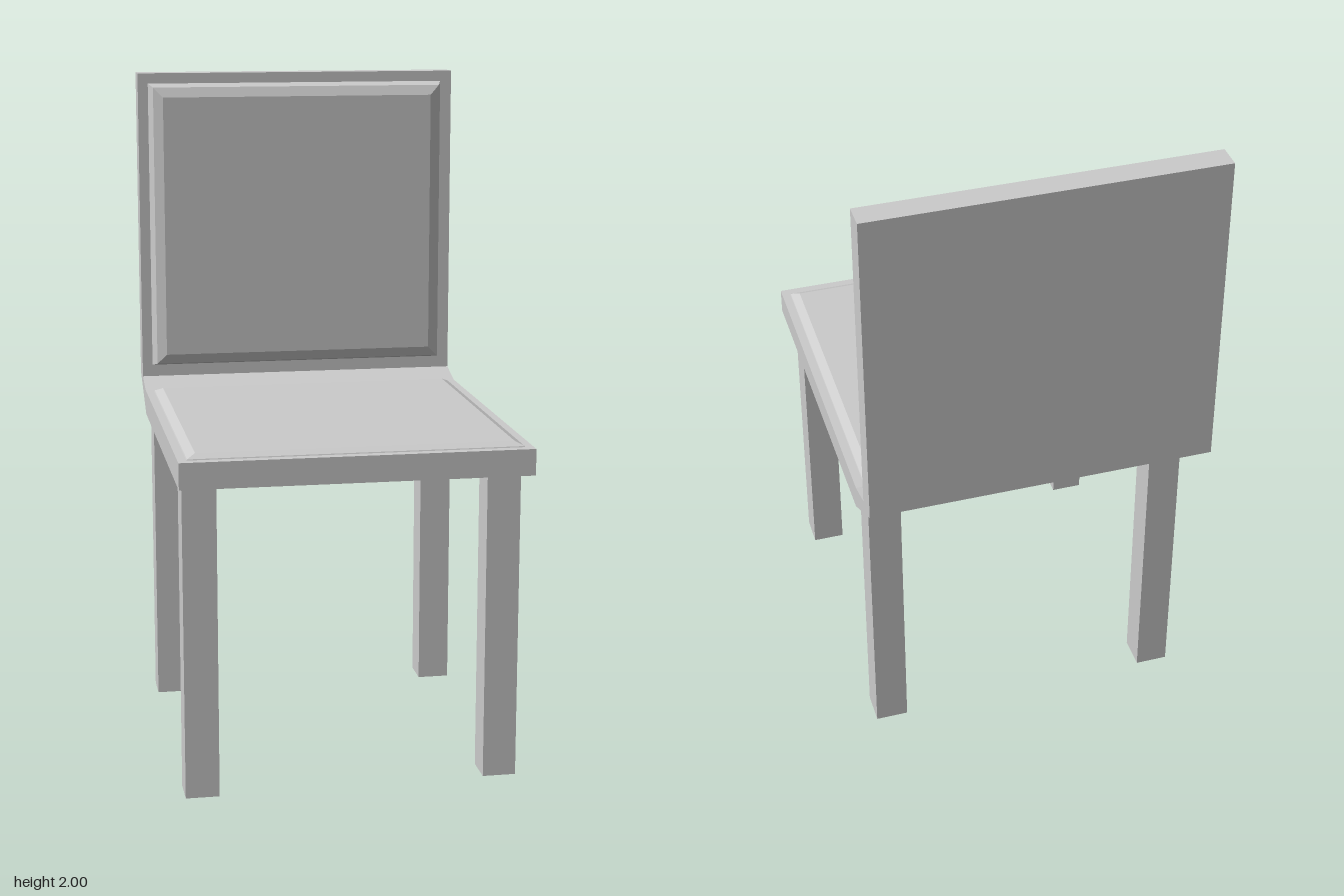
import * as THREE from 'three';

const material = new THREE.MeshStandardMaterial({ color: 0xcccccc, flatShading: true });

function addMesh(parent, name, geometry) {
  const mesh = new THREE.Mesh(geometry, material);
  mesh.name = name;
  parent.add(mesh);
  return mesh;
}

// Pad facing +z, lofted through rectangles [halfWidth, halfHeight, z], capped at both ends
function padGeometry(rings) {
  const positions = [];
  const corners = rings.map(([w, h, z]) => [[-w, -h, z], [w, -h, z], [w, h, z], [-w, h, z]]);
  const quad = (a, b, c, d) => positions.push(...a, ...b, ...c, ...a, ...c, ...d);
  for (let i = 0; i < corners.length - 1; i++) {
    const lower = corners[i], upper = corners[i + 1];
    for (let j = 0; j < 4; j++) {
      const k = (j + 1) % 4;
      quad(lower[j], lower[k], upper[k], upper[j]);
    }
  }
  const [a, b, c, d] = corners[0];
  quad(d, c, b, a);
  quad(...corners[corners.length - 1]);
  const geometry = new THREE.BufferGeometry();
  geometry.setAttribute('position', new THREE.Float32BufferAttribute(positions, 3));
  geometry.computeVertexNormals();
  return geometry;
}

export function createModel() {
  const chair = new THREE.Group();
  chair.name = 'chair';

  // Seat and backrest in one piece: side profile (z, y) extruded across the width
  const width = 1.024;
  const profile = new THREE.Shape([
    [0.598, 0.912], [0.598, 0.99], [-0.43, 0.99], [-0.523, 1.017],
    [-0.523, 2], [-0.598, 2], [-0.598, 1.017], [-0.42, 0.912],
  ].map(([z, y]) => new THREE.Vector2(-z, y)));
  const frame = new THREE.ExtrudeGeometry(profile, { depth: width, bevelEnabled: false });
  frame.translate(0, 0, -width / 2);
  frame.rotateY(Math.PI / 2); // profile -z runs along the model's depth
  addMesh(chair, 'seatAndBackFrame', frame);

  // Cushions: splayed base, shoulder, then a shallow bevel to the flat face
  const seatPad = padGeometry([[0.502, 0.503, -0.035], [0.485, 0.486, 0.003], [0.46, 0.462, 0.015]]);
  seatPad.rotateX(-Math.PI / 2);
  addMesh(chair, 'seatCushion', seatPad).position.set(0, 0.99, 0.083);

  const backPad = padGeometry([[0.481, 0.459, -0.01], [0.465, 0.446, 0.04], [0.435, 0.415, 0.053]]);
  addMesh(chair, 'backCushion', backPad).position.set(-0.002, 1.511, -0.523);

  // Square legs, centres (x, z) slightly uneven
  const legs = [
    ['frontLeftLeg', 0.425, 0.527], ['frontRightLeg', -0.456, 0.547],
    ['backLeftLeg', 0.425, -0.357], ['backRightLeg', -0.449, -0.357],
  ];
  for (const [name, x, z] of legs) {
    addMesh(chair, name, new THREE.BoxGeometry(0.098, 0.92, 0.098)).position.set(x, 0.46, z);
  }

  return chair;
}
